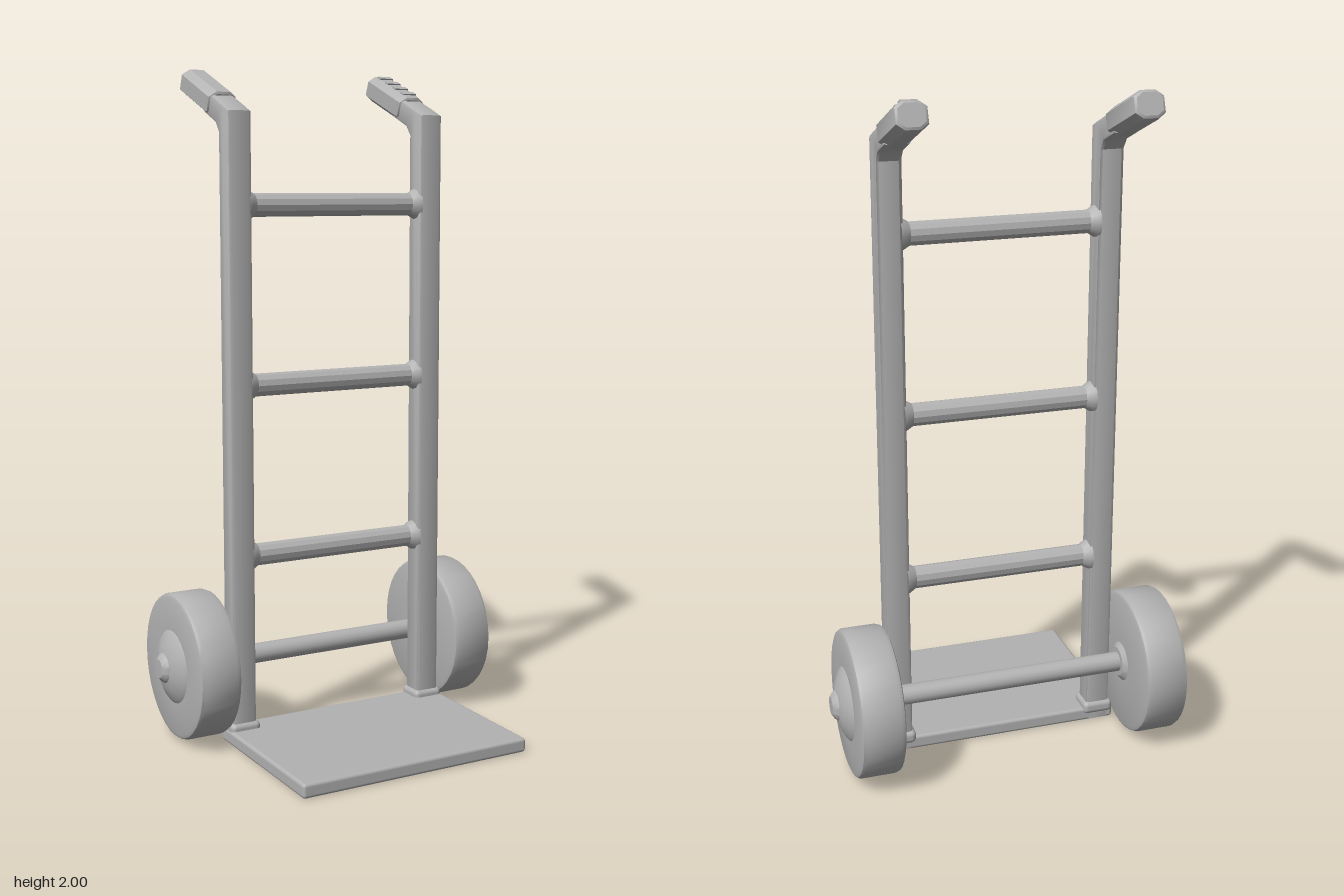
import * as THREE from 'three';
import { toCreasedNormals } from 'three/addons/utils/BufferGeometryUtils.js';
import { RoundedBoxGeometry } from 'three/addons/geometries/RoundedBoxGeometry.js';

const WHEEL_Y = 0.23, WHEEL_Z = -0.19;

export function createModel() {
  const model = new THREE.Group();
  model.name = 'handTruck';
  const grey = new THREE.MeshStandardMaterial({ color: 0xb2b2b2 });
  grey.name = 'plain grey';

  const add = (name, geometry, x, y, z, parent = model) => {
    const mesh = new THREE.Mesh(geometry, grey);
    mesh.name = name;
    mesh.position.set(x, y, z);
    parent.add(mesh);
    return mesh;
  };
  // Revolved part whose profile of [radius, offset] runs along x
  const turned = (points, segments, dir = 1) => {
    const g = new THREE.LatheGeometry(points.map(p => new THREE.Vector2(...p)), segments);
    g.rotateZ(-dir * Math.PI / 2);
    return toCreasedNormals(g, 0.5);
  };

  // Toe plate
  add('toePlate', new RoundedBoxGeometry(0.74, 0.043, 0.54, 2, 0.01), 0, 0.0225, 0.14);

  // Ladder rungs, flared where they meet the posts
  const rung = turned([[0.05, -0.29], [0.045, -0.28], [0.034, -0.262],
    [0.034, 0.262], [0.045, 0.28], [0.05, 0.29]], 12);
  for (const y of [0.565, 1.075, 1.6]) {
    add('rung', rung, 0, y, -0.1).scale.z = 0.9;
  }

  // Axle
  add('axle', turned([[0, -0.4], [0.03, -0.4], [0.03, 0.4], [0, 0.4]], 16), 0, WHEEL_Y, WHEEL_Z);

  // Upright profile (distance back, height), bent backwards at the top
  const profile = new THREE.Shape([[0.07, 0.015], [0.12, 0.015], [0.12, 1.81], [0.145, 1.843],
    [0.22, 1.873], [0.205, 1.915], [0.1, 1.873], [0.07, 1.86]].map(p => new THREE.Vector2(...p)));
  const postGeo = new THREE.ExtrudeGeometry(profile, {
    depth: 0.055, bevelEnabled: true, bevelSize: 0.01, bevelThickness: 0.01, bevelSegments: 2,
  });
  postGeo.translate(0, 0, -0.0275).rotateY(Math.PI / 2);
  const post = toCreasedNormals(postGeo, 0.6);

  // Eight-sided grip with chamfered ends, lying along z
  const gripShape = new THREE.Shape([[-0.036, -0.018], [-0.018, -0.031], [0.018, -0.031], [0.036, -0.018],
    [0.036, 0.018], [0.018, 0.031], [-0.018, 0.031], [-0.036, 0.018]].map(p => new THREE.Vector2(...p)));
  const gripGeo = new THREE.ExtrudeGeometry(gripShape, {
    depth: 0.19, bevelEnabled: true, bevelSize: 0.009, bevelThickness: 0.012, bevelSegments: 2,
  });
  gripGeo.translate(0, 0, -0.095);
  const grip = toCreasedNormals(gripGeo, 0.5);

  // Wheel profile from inner face to axle cap
  const wheelProfile = [[0, -0.078], [0.045, -0.078], [0.06, -0.066], [0.205, -0.066], [0.215, -0.062],
    [0.22, -0.05], [0.22, 0.05], [0.215, 0.06], [0.205, 0.064], [0.11, 0.064], [0.1, 0.072],
    [0.065, 0.088], [0.045, 0.093], [0.04, 0.1], [0.028, 0.109], [0, 0.11]];

  for (const side of [1, -1]) {
    const label = side > 0 ? 'left' : 'right';
    add(label + 'Post', post, side * 0.32, 0, 0);
    add(label + 'PostFoot', new RoundedBoxGeometry(0.095, 0.04, 0.09, 2, 0.015), side * 0.32, 0.045, -0.095);
    add(label + 'Wheel', turned(wheelProfile, 36, side), side * 0.435, WHEEL_Y, WHEEL_Z);

    const handle = new THREE.Group();
    handle.name = label + 'Handle';
    handle.position.set(side * 0.32, 1.926, -0.283);
    handle.rotation.x = 0.37;
    model.add(handle);
    add(label + 'Grip', grip, 0, 0, 0, handle);

    // Finger ridges on the left grip
    if (side > 0) {
      for (let i = 0; i < 4; i++) {
        add('gripRidge', new THREE.BoxGeometry(0.045, 0.012, 0.02), 0, 0.038, 0.075 - i * 0.05, handle);
      }
    }
  }
  return model;
}
